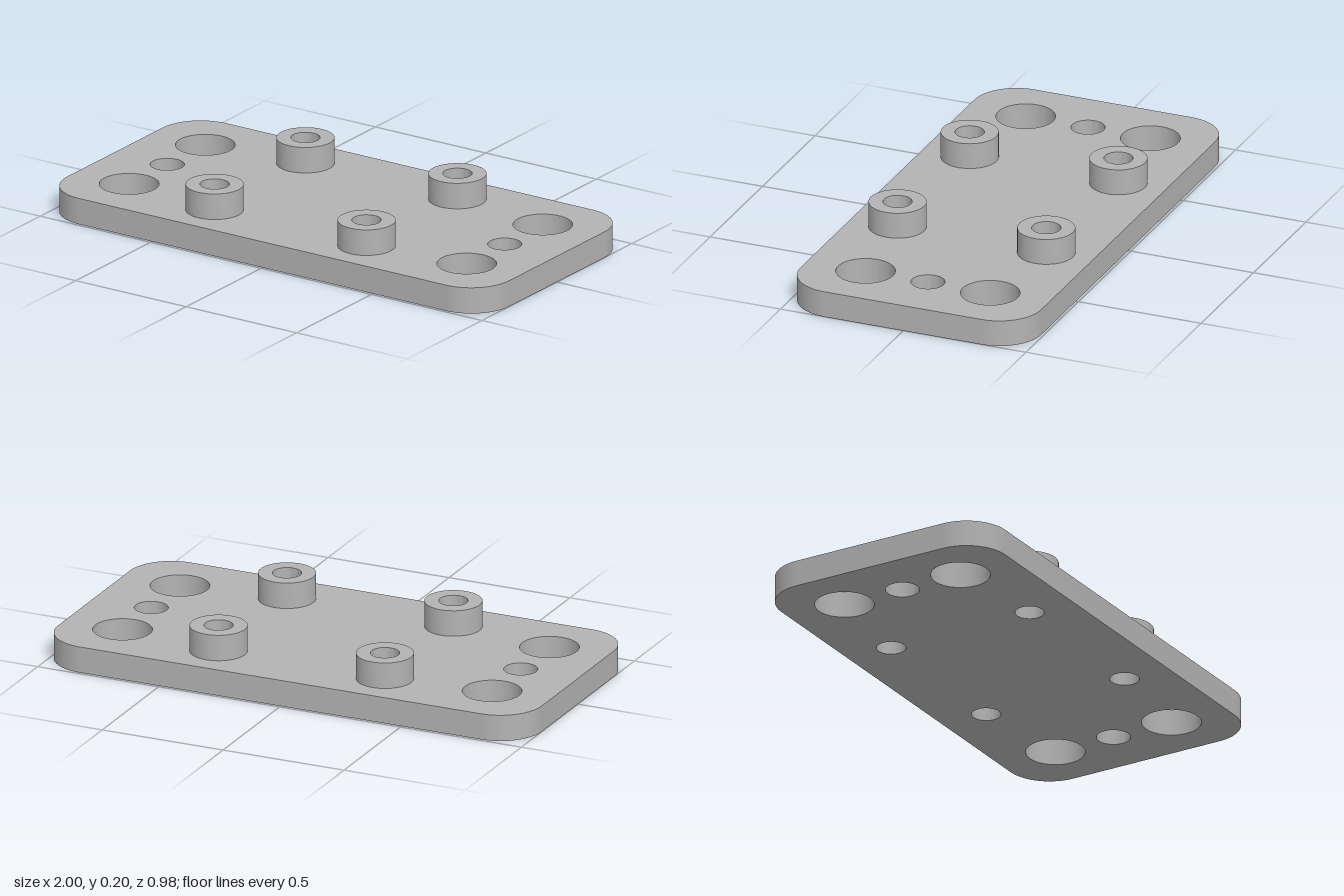
import * as THREE from 'three';
import { toCreasedNormals } from 'three/addons/utils/BufferGeometryUtils.js';

const HALF_X = 1, HALF_Z = 0.49, CORNER = 0.17;
const PLATE_TOP = 0.103, BOSS_TOP = 0.205;
const BOSS_X = 0.344, BOSS_Z = 0.303, BOSS_R = 0.109, BORE_R = 0.055;
const END_X = 0.764, LARGE_Z = 0.254, LARGE_R = 0.112, SMALL_R = 0.064;
const SEGMENTS = 48;

function addHole(shape, x, y, radius) {
  const hole = new THREE.Path();
  hole.absarc(x, y, radius, 0, Math.PI * 2, true);
  shape.holes.push(hole);
}

// Rounded rectangle with all the through holes
function plateGeometry() {
  const shape = new THREE.Shape();
  const cx = HALF_X - CORNER, cy = HALF_Z - CORNER, q = Math.PI / 2;
  shape.absarc(cx, cy, CORNER, 0, q);
  shape.absarc(-cx, cy, CORNER, q, 2 * q);
  shape.absarc(-cx, -cy, CORNER, 2 * q, 3 * q);
  shape.absarc(cx, -cy, CORNER, 3 * q, 4 * q);
  shape.closePath();
  for (const sx of [-1, 1]) {
    addHole(shape, sx * END_X, 0, SMALL_R);
    for (const sy of [-1, 1]) {
      addHole(shape, sx * END_X, sy * LARGE_Z, LARGE_R);
      addHole(shape, sx * BOSS_X, sy * BOSS_Z, BORE_R);
    }
  }
  const geometry = new THREE.ExtrudeGeometry(shape, {
    depth: PLATE_TOP, bevelEnabled: false, curveSegments: SEGMENTS,
  });
  geometry.rotateX(-Math.PI / 2);
  return toCreasedNormals(geometry, Math.PI / 5);
}

// Hollow standoff: outer wall, rim and bore
function bossGeometry() {
  const profile = [
    [BOSS_R, PLATE_TOP], [BOSS_R, BOSS_TOP], [BORE_R, BOSS_TOP], [BORE_R, PLATE_TOP],
  ].map(([r, y]) => new THREE.Vector2(r, y));
  return toCreasedNormals(new THREE.LatheGeometry(profile, SEGMENTS), Math.PI / 5);
}

export function createModel() {
  const group = new THREE.Group();
  group.name = 'mountingPlate';
  const grey = new THREE.MeshStandardMaterial({ color: 0xb3b3b3 });
  grey.name = 'grey';

  const plate = new THREE.Mesh(plateGeometry(), grey);
  plate.name = 'basePlate';
  group.add(plate);

  // Four standoffs, mirrored about both axes
  const geometry = bossGeometry();
  for (const sx of [-1, 1]) {
    for (const sz of [-1, 1]) {
      const boss = new THREE.Mesh(geometry, grey);
      boss.name = `${sz > 0 ? 'front' : 'back'}${sx > 0 ? 'Left' : 'Right'}Standoff`;
      boss.position.set(sx * BOSS_X, 0, sz * BOSS_Z);
      group.add(boss);
    }
  }
  return group;
}
